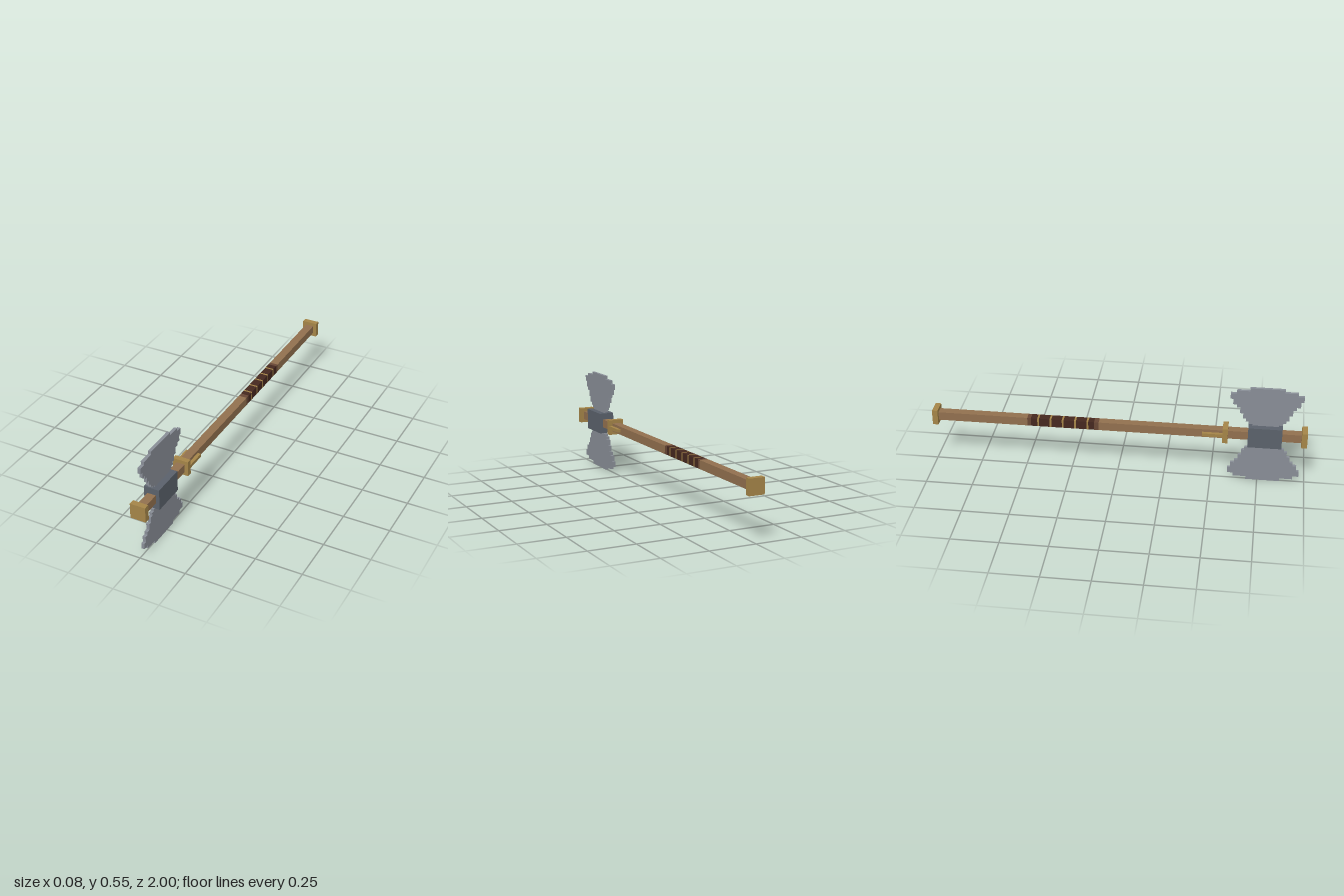
import * as THREE from 'three';

const paint = (name, color) => {
  const m = new THREE.MeshStandardMaterial({ color });
  m.name = name;
  return m;
};

export function createModel() {
  const wood = paint('wood', 0x92704e);
  const stain = paint('stained wood', 0x684735);
  const leather = paint('dark leather', 0x45281f);
  const gold = paint('brass', 0xa58548);
  const iron = paint('dark iron', 0x5a616b);
  const steel = paint('steel', 0x888d96);

  const MID = 0.276;      // height of the shaft axis
  const HEAD = 0.779;     // z of the axe head
  const SHAFT = 0.046;
  const group = new THREE.Group();
  group.name = 'doubleAxe';

  // Box centred on x and y, spanning z0..z1
  const box = (name, mat, w, h, z0, z1, x = 0) => {
    const mesh = new THREE.Mesh(new THREE.BoxGeometry(w, h, Math.abs(z1 - z0)), mat);
    mesh.name = name;
    mesh.position.set(x, MID, (z0 + z1) / 2);
    group.add(mesh);
  };

  // Square shaft, with stained ends around the grip
  box('frontShaft', wood, SHAFT, SHAFT, -0.1, 0.98);
  box('rearShaft', wood, SHAFT, SHAFT, -0.98, -0.485);
  box('gripFrontStain', stain, SHAFT, SHAFT, -0.125, -0.1);
  box('gripRearStain', stain, SHAFT, SHAFT, -0.485, -0.465);

  // Leather grip divided by thin brass rings
  let start = -0.125;
  for (let i = 0; i < 5; i++) {
    const ring = -0.161 - i * 0.0663;
    box('gripWrap', leather, SHAFT, SHAFT, ring + 0.005, start);
    box('gripRing', gold, SHAFT, SHAFT, ring - 0.005, ring + 0.005);
    start = ring - 0.005;
  }
  box('gripWrap', leather, SHAFT, SHAFT, -0.465, start);

  // Caps, collar and its two side prongs
  box('frontCap', gold, 0.084, 0.084, 0.97, 1);
  box('rearCap', gold, 0.084, 0.084, -1, -0.97);
  box('collar', gold, 0.084, 0.084, 0.557, 0.585);
  for (const s of [1, -1]) box('prong', gold, 0.018, 0.018, 0.45, 0.56, s * 0.033);

  // Head block
  box('headBlock', iron, 0.084, 0.115, 0.69, 0.868);

  // Stepped blades: [height of step top above the axis, half width]
  const steps = [
    [0.066, 0.07], [0.078, 0.09], [0.095, 0.105], [0.126, 0.12], [0.159, 0.137],
    [0.177, 0.155], [0.209, 0.175], [0.241, 0.19], [0.259, 0.158], [0.276, 0.09],
  ];
  const side = [];
  let y = 0.05;
  for (const [top, half] of steps) {
    side.push([half, y], [half, top]);
    y = top;
  }
  const outline = [...side, ...side.map(([w, h]) => [-w, h]).reverse()];
  const shape = new THREE.Shape(outline.map(([w, h]) => new THREE.Vector2(w, h)));
  const bladeGeometry = new THREE.ExtrudeGeometry(shape, { depth: 0.017, bevelEnabled: false });
  bladeGeometry.translate(0, 0, -0.0085).rotateY(Math.PI / 2);
  ['upperBlade', 'lowerBlade'].forEach((name, i) => {
    const blade = new THREE.Mesh(bladeGeometry, steel);
    blade.name = name;
    blade.position.set(0, MID, HEAD);
    blade.rotation.x = i * Math.PI;
    group.add(blade);
  });

  return group;
}
